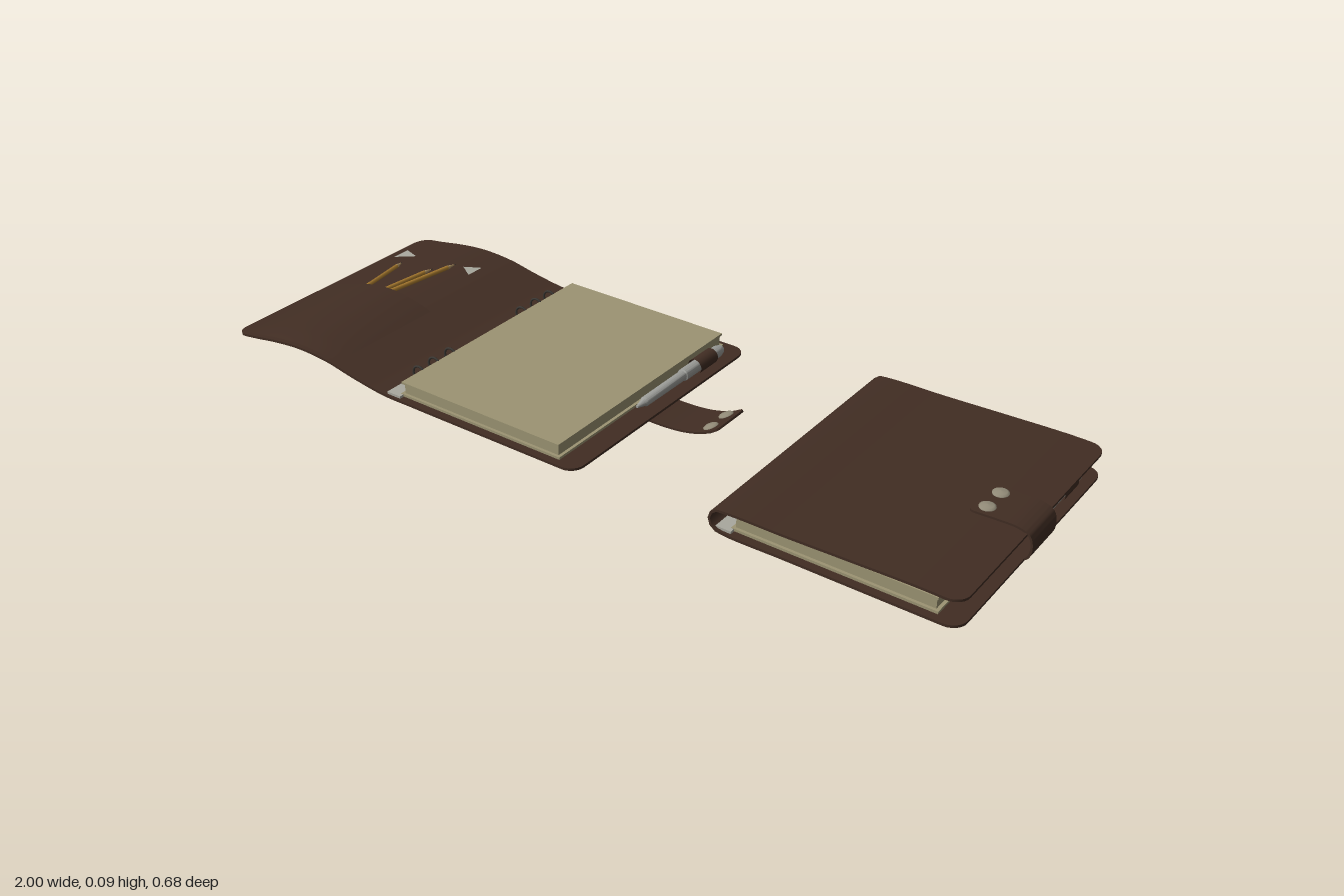
import * as THREE from 'three';
import { toCreasedNormals } from 'three/addons/utils/BufferGeometryUtils.js';

const material = (name, color, side = THREE.FrontSide) => {
  const m = new THREE.MeshStandardMaterial({ color, side });
  m.name = name;
  return m;
};

export function createModel() {
  const leather = material('brown leather', 0x412d23, THREE.DoubleSide);
  const paper = material('cream paper', 0x9c9473);
  const steel = material('brushed steel', 0x9b9c98);
  const brass = material('aged stud metal', 0x928b78);
  const ringDark = material('dark ring metal', 0x3a3733);
  const yellow = material('pencil yellow', 0xa87a2e);
  const wood = material('pencil wood', 0xb89a68);
  const label = material('corner tab', 0xa9a89e, THREE.DoubleSide);

  const add = (parent, name, geometry, mat, x = 0, y = 0, z = 0) => {
    const mesh = new THREE.Mesh(geometry, mat);
    mesh.name = name;
    mesh.position.set(x, y, z);
    parent.add(mesh);
    return mesh;
  };

  const curveOf = (points) =>
    new THREE.CatmullRomCurve3(points.map(([x, y]) => new THREE.Vector3(x, y, 0)));

  // Leather strip that follows a side profile, with rounded corners at both ends
  function sheet(curve, z0, z1, thickness, radius) {
    const length = curve.getLength(), mid = (z0 + z1) / 2, half = (z1 - z0) / 2;
    const ends = [0, 0.03, 0.12, 0.27, 0.5, 0.75].map((f) => f * radius);
    const steps = [...ends];
    for (let i = 0; i <= 70; i++) steps.push(radius + (length - 2 * radius) * i / 70);
    steps.push(...ends.map((d) => length - d).reverse());
    const pos = [], index = [];
    for (const s of steps) {
      const u = Math.min(1, s / length), p = curve.getPointAt(u), t = curve.getTangentAt(u);
      const d = Math.min(radius, s, length - s);
      const w = half - radius + Math.sqrt(Math.max(0, radius ** 2 - (radius - d) ** 2));
      const nx = -t.y * thickness / 2, ny = t.x * thickness / 2;
      for (const [n, k] of [[1, 1], [1, -1], [-1, -1], [-1, 1]]) {
        pos.push(p.x + n * nx, p.y + n * ny, mid + k * w);
      }
    }
    const last = (steps.length - 1) * 4;
    for (let i = 0; i < last; i += 4) {
      for (let k = 0; k < 4; k++) {
        const a = i + k, b = i + (k + 1) % 4;
        index.push(a, a + 4, b + 4, a, b + 4, b);
      }
    }
    index.push(0, 1, 2, 0, 2, 3, last, last + 2, last + 1, last, last + 3, last + 2);
    const g = new THREE.BufferGeometry();
    g.setAttribute('position', new THREE.Float32BufferAttribute(pos, 3));
    g.setIndex(index);
    return toCreasedNormals(g, 0.7);
  }

  // Domed stud, facing up (dir 1) or down (dir -1)
  function stud(parent, x, y, z, dir, tilt) {
    const dome = new THREE.LatheGeometry(
      [[0.018, 0], [0.018, 0.003], [0.013, 0.006], [0, 0.0075]].map((p) => new THREE.Vector2(...p)), 20);
    const m = add(parent, 'strapStud', dome, brass, x, y, z);
    m.rotation.z = tilt + (dir < 0 ? Math.PI : 0);
  }

  function pencil(parent, a, b) {
    const g = new THREE.Group();
    g.name = 'pencil';
    const dir = b.clone().sub(a), len = dir.length(), tip = 0.03;
    add(g, 'pencilBody', new THREE.CylinderGeometry(0.006, 0.006, len - tip, 6), yellow, 0, (len - tip) / 2);
    add(g, 'pencilTip', new THREE.CylinderGeometry(0.0015, 0.006, tip * 0.75, 6), wood, 0, len - tip * 0.625);
    add(g, 'pencilLead', new THREE.ConeGeometry(0.0015, tip * 0.25, 6), ringDark, 0, len - tip * 0.125);
    g.position.copy(a);
    g.quaternion.setFromUnitVectors(new THREE.Vector3(0, 1, 0), dir.normalize());
    parent.add(g);
  }

  // Pocket, pencils and corner tabs; place(x, offset, z) maps onto the inside of the flap
  function flapContents(parent, place, bulge) {
    const pocket = new THREE.PlaneGeometry(1, 1, 24, 12), p = pocket.attributes.position;
    for (let i = 0; i < p.count; i++) {
      const u = p.getX(i) + 0.5, v = p.getY(i) + 0.5;
      const off = 0.004 + bulge * Math.sin(Math.PI * u) * Math.sqrt(v);
      const q = place(-0.988 + 0.333 * u, off, 0.325 * (1 - v));
      p.setXYZ(i, q.x, q.y, q.z);
    }
    pocket.computeVertexNormals();
    add(parent, 'pocket', pocket, leather);

    for (const [x0, x1, z1] of [[-0.872, -0.912, -0.17], [-0.822, -0.797, -0.165], [-0.802, -0.765, -0.22]]) {
      pencil(parent, place(x0, 0.01, 0.04), place(x1, 0.01, z1));
    }
    for (const [base, apex] of [[-0.972, -0.915], [-0.705, -0.745]]) {
      const tri = new THREE.BufferGeometry().setFromPoints([
        place(base, 0.006, -0.2), place(apex, 0.006, -0.225), place(base, 0.006, -0.252)]);
      tri.computeVertexNormals();
      add(parent, 'cornerTab', tri, label);
    }
  }

  // Page block, ring binding and pen; x0 is the binding edge
  function insert(parent, x0) {
    add(parent, 'bindingPlate', new THREE.BoxGeometry(0.04, 0.006, 0.665), label, x0 + 0.02, 0.016, -0.003);
    add(parent, 'backPage', new THREE.BoxGeometry(0.47, 0.006, 0.64), paper, x0 + 0.268, 0.017, -0.002);
    add(parent, 'pageBlock', new THREE.BoxGeometry(0.455, 0.026, 0.628), paper, x0 + 0.268, 0.033, -0.003);
    add(parent, 'topPage', new THREE.BoxGeometry(0.465, 0.005, 0.636), paper, x0 + 0.267, 0.0475, -0.002);
    for (const s of [-1, 1]) {
      for (const z of [0.133, 0.19, 0.243]) {
        add(parent, 'ring', new THREE.TorusGeometry(0.019, 0.003, 6, 20), ringDark, x0 + 0.022, 0.034, s * z);
      }
    }
    const profile = [[0, 0], [0.003, 0], [0.009, 0.025], [0.012, 0.03], [0.0125, 0.18], [0.015, 0.182],
      [0.015, 0.325], [0.011, 0.34], [0, 0.342]].map((p) => new THREE.Vector2(...p));
    const pen = add(parent, 'pen', toCreasedNormals(new THREE.LatheGeometry(profile, 20), 0.6), steel,
      x0 + 0.524, 0.033, 0.062);
    pen.rotation.x = -Math.PI / 2;
    const loop = add(parent, 'penLoop', new THREE.CylinderGeometry(0.019, 0.019, 0.07, 24, 1, true), leather,
      x0 + 0.524, 0.033, -0.204);
    loop.rotation.x = Math.PI / 2;
  }

  // Height of a curve at a given x, looked up on its samples
  const heightOn = (samples, x) => {
    const k = Math.max(1, samples.findIndex((q) => q.x >= x));
    const a = samples[k - 1], b = samples[k];
    return a.y + (b.y - a.y) * (x - a.x) / (b.x - a.x);
  };

  const model = new THREE.Group();
  model.name = 'plannerPair';

  // Open planner
  const open = new THREE.Group();
  open.name = 'openPlanner';
  model.add(open);
  const openCurve = curveOf([[-1, 0.015], [-0.93, 0.025], [-0.85, 0.038], [-0.77, 0.045], [-0.68, 0.04],
    [-0.6, 0.025], [-0.5, 0.011], [-0.4, 0.01], [-0.15, 0.01], [0.068, 0.01]]);
  add(open, 'openCover', sheet(openCurve, -0.342, 0.336, 0.006, 0.035), leather);
  const openSamples = openCurve.getPoints(200);
  flapContents(open, (x, off, z) => new THREE.Vector3(x, heightOn(openSamples, x) + off, z), 0.016);
  insert(open, -0.49);
  const openStrap = curveOf([[0, 0.005], [0.1, 0.004], [0.16, 0.01], [0.21, 0.024], [0.248, 0.044]]);
  add(open, 'openStrap', sheet(openStrap, -0.058, 0.055, 0.005, 0.012), leather);
  for (const z of [-0.034, 0.027]) {
    stud(open, 0.214, 0.028, z, 1, 0.43);
    stud(open, 0.216, 0.024, z, -1, 0.43);
  }

  // Closed planner
  const closed = new THREE.Group();
  closed.name = 'closedPlanner';
  model.add(closed);
  const closedCurve = curveOf([[0.985, 0.01], [0.8, 0.01], [0.6, 0.01], [0.45, 0.01], [0.427, 0.016],
    [0.418, 0.037], [0.428, 0.058], [0.46, 0.063], [0.6, 0.065], [0.75, 0.069], [0.9, 0.072], [0.985, 0.07]]);
  add(closed, 'closedCover', sheet(closedCurve, -0.342, 0.336, 0.006, 0.035), leather);
  const topSamples = closedCurve.getPoints(300).filter((q) => q.y > 0.06);
  flapContents(closed, (x, off, z) => {
    const cx = -0.015 - x;
    return new THREE.Vector3(cx, heightOn(topSamples, cx) - off, z);
  }, 0.009);
  insert(closed, 0.428);
  const closedStrap = curveOf([[0.9, 0.005], [0.965, 0.004], [0.99, 0.016], [0.997, 0.042], [0.989, 0.069],
    [0.965, 0.079], [0.92, 0.08], [0.855, 0.078]]);
  add(closed, 'closedStrap', sheet(closedStrap, -0.058, 0.055, 0.005, 0.012), leather);
  for (const z of [-0.034, 0.027]) stud(closed, 0.884, 0.081, z, 1, 0);

  return model;
}
